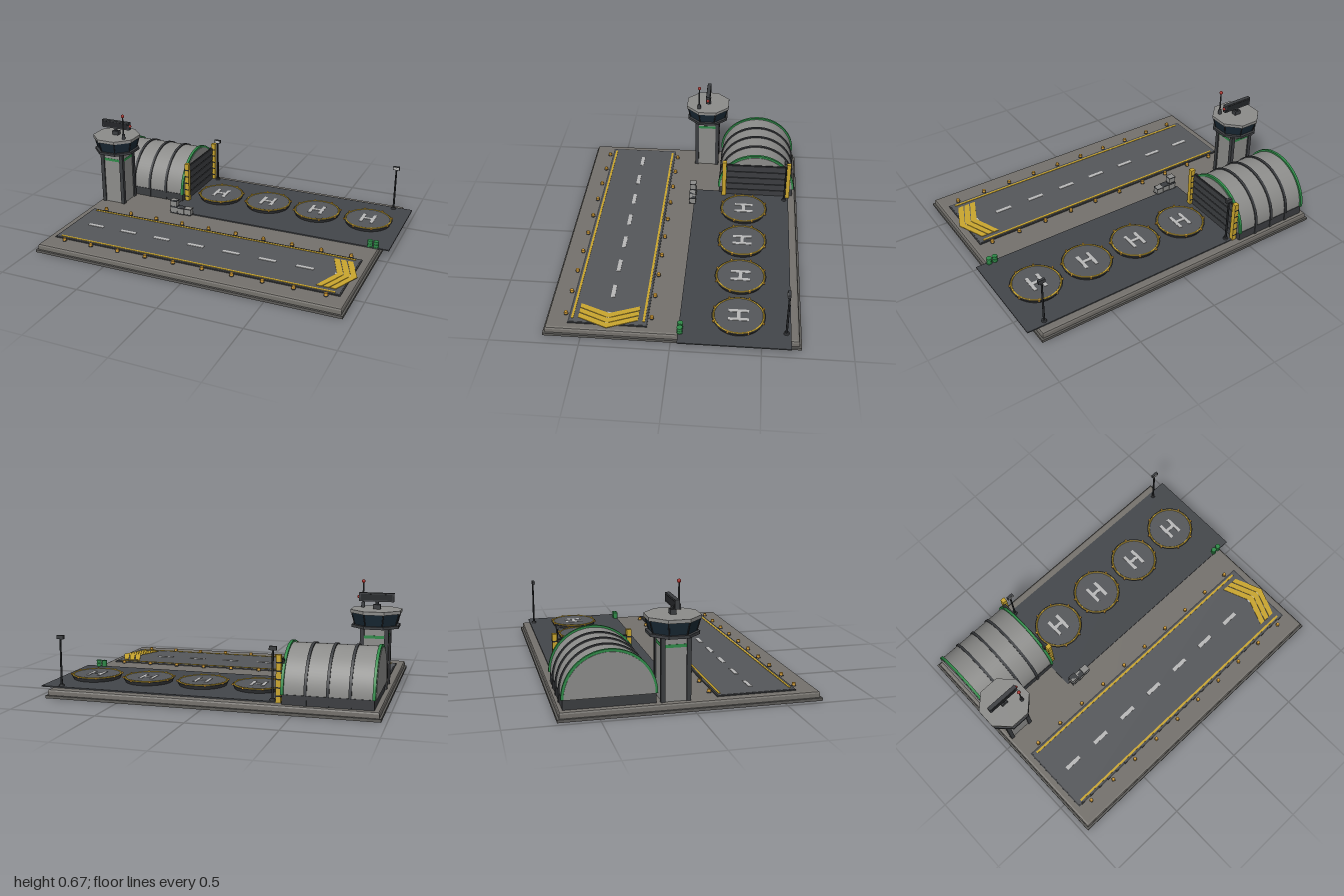
import * as THREE from 'three';

const COLORS = {
  concrete: 0x74716c, lip: 0x5c5b58, apron: 0x43464a, runway: 0x55575a, steel: 0x8c8c8a, dark: 0x3b3d40,
  black: 0x242629, glass: 0x1a2a36, yellow: 0xc9a52e, amber: 0xd09a35, green: 0x2f8a48, paint: 0xb8b8b8, red: 0xa02822,
};
const materials = {};
const mat = (key, flat = false) => materials[key + flat] ??= new THREE.MeshStandardMaterial({ color: COLORS[key], flatShading: flat });

export function createModel() {
  const root = new THREE.Group();
  root.name = 'airfield';
  const group = (name, x = 0, y = 0, z = 0) => {
    const g = new THREE.Group();
    g.name = name;
    g.position.set(x, y, z);
    root.add(g);
    return g;
  };
  const add = (parent, name, geometry, key, x = 0, y = 0, z = 0, flat = false) => {
    const m = new THREE.Mesh(geometry, mat(key, flat));
    m.name = name;
    m.position.set(x, y, z);
    parent.add(m);
    return m;
  };
  // y is the underside of the box or cylinder
  const box = (p, name, key, w, h, d, x, y, z) => add(p, name, new THREE.BoxGeometry(w, h, d), key, x, y + h / 2, z);
  const cyl = (p, name, key, rTop, rBottom, h, x, y, z, sides = 20) =>
    add(p, name, new THREE.CylinderGeometry(rTop, rBottom, h, sides), key, x, y + h / 2, z);

  // Base slab with a lower lip and bevelled upper edge
  const base = group('base', -0.015, 0, -0.003);
  box(base, 'baseLip', 'lip', 1.91, 0.016, 1.432, 0, 0, 0);
  const W = 0.93, D = 0.69;
  const outline = new THREE.Shape([[-W, -D], [W, -D], [W, D], [-W, D]].map(p => new THREE.Vector2(...p)));
  const slab = new THREE.ExtrudeGeometry(outline, { depth: 0.022, bevelThickness: 0.012, bevelSize: 0.014, bevelSegments: 2 });
  add(base, 'baseSlab', slab.rotateX(-Math.PI / 2), 'concrete', 0, 0.017, 0);

  // Apron plate, reaching past the slab's edge
  box(root, 'apron', 'apron', 1.445, 0.007, 0.62, 0.2725, 0.051, -0.35);

  // Runway with edge lines, dashes and chevrons
  const runway = group('runway');
  box(runway, 'runwayBorder', 'dark', 1.8, 0.005, 0.446, -0.016, 0.051, 0.357);
  box(runway, 'runwaySurface', 'runway', 1.785, 0.007, 0.43, -0.016, 0.051, 0.357);
  for (const z of [0.156, 0.558]) box(runway, 'edgeLine', 'yellow', 1.735, 0.003, 0.013, -0.017, 0.0575, z);
  for (let i = 0; i < 8; i++) box(runway, 'centreDash', 'paint', 0.105, 0.003, 0.023, -0.763 + i * 0.229, 0.0575, 0.357);
  const chevron = new THREE.Shape([[0, 0.168], [0.033, 0.168], [0.105, 0], [0.033, -0.168], [0, -0.168], [0.068, 0]]
    .map(p => new THREE.Vector2(...p)).reverse());
  const chevronGeometry = new THREE.ExtrudeGeometry(chevron, { depth: 0.004, bevelEnabled: false }).rotateX(-Math.PI / 2);
  for (let i = 0; i < 3; i++) add(runway, 'chevron', chevronGeometry, 'yellow', 0.73 + i * 0.04, 0.0575, 0.357);
  for (const z of [0.115, 0.6]) for (let i = 0; i < 10; i++) {
    const x = -0.836 + i * 0.183;
    cyl(runway, 'runwayLightBase', 'dark', 0.013, 0.013, 0.005, x, 0.05, z, 10);
    cyl(runway, 'runwayLight', 'amber', 0.01, 0.011, 0.015, x, 0.054, z, 10);
  }

  // Four landing pads
  for (let i = 0; i < 4; i++) {
    const pad = group('landingPad', -0.231 + i * 0.3365, 0.056, -0.368);
    cyl(pad, 'padBody', 'dark', 0.152, 0.138, 0.024, 0, 0, 0, 40);
    cyl(pad, 'padTop', 'runway', 0.136, 0.136, 0.004, 0, 0.023, 0, 40);
    add(pad, 'padRing', new THREE.TorusGeometry(0.141, 0.005, 6, 40).rotateX(Math.PI / 2), 'yellow', 0, 0.026, 0);
    for (const s of [-1, 1]) box(pad, 'padMarkBar', 'paint', 0.02, 0.003, 0.115, s * 0.034, 0.0265, 0);
    box(pad, 'padMarkCross', 'paint', 0.05, 0.003, 0.02, 0, 0.0265, 0);
    for (let k = 0; k < 8; k++) {
      const a = (k + 0.5) * Math.PI / 4;
      cyl(pad, 'padLight', 'amber', 0.006, 0.007, 0.01, 0.15 * Math.cos(a), 0.022, 0.15 * Math.sin(a), 8);
    }
  }

  // Hangar: half-round roof on low walls
  const hangar = group('hangar', 0, 0, -0.442);
  const arch = (name, key, r, w, x) => add(hangar, name,
    new THREE.CylinderGeometry(r, r, w, 40, 1, false, 0, Math.PI).rotateZ(Math.PI / 2), key, x, 0.105, 0);
  box(hangar, 'lowerWalls', 'dark', 0.492, 0.056, 0.488, -0.684, 0.05, 0);
  arch('roof', 'steel', 0.241, 0.485, -0.684);
  for (const x of [-0.803, -0.685, -0.565]) {
    arch('roofRib', 'dark', 0.248, 0.016, x);
    for (const s of [-1, 1]) box(hangar, 'wallPost', 'dark', 0.016, 0.056, 0.012, x, 0.05, s * 0.243);
  }
  for (const x of [-0.928, -0.44]) arch('endTrim', 'green', 0.252, 0.016, x);
  for (const x of [-0.93, -0.438]) arch('endWall', x < -0.5 ? 'steel' : 'steel', 0.238, 0.018, x);
  // Slatted door between striped posts
  box(hangar, 'door', 'black', 0.014, 0.232, 0.39, -0.432, 0.055, 0);
  for (let i = 0; i < 5; i++) box(hangar, 'doorSlat', 'dark', 0.022, 0.04, 0.39, -0.43, 0.057 + i * 0.0465, 0);
  for (const s of [-1, 1]) {
    box(hangar, 'doorPost', 'yellow', 0.028, 0.262, 0.027, -0.415, 0.053, s * 0.21);
    for (let i = 0; i < 5; i++) box(hangar, 'postStripe', 'black', 0.0285, 0.008, 0.0275, -0.4155, 0.085 + i * 0.046, s * 0.21);
  }

  // Control tower shaft with corner pillars and a painted band
  const tower = group('controlTower', -0.857, 0, -0.095);
  box(tower, 'towerShaft', 'steel', 0.145, 0.352, 0.145, 0, 0.05, 0);
  box(tower, 'towerBand', 'green', 0.149, 0.017, 0.149, 0, 0.34, 0);
  for (const sx of [-1, 1]) for (const sz of [-1, 1])
    box(tower, 'cornerPillar', 'dark', 0.024, 0.352, 0.024, sx * 0.069, 0.05, sz * 0.069);
  // Eight-sided cab, sized by the distance to its flats
  const octagon = (name, key, top, bottom, h, y) => {
    const k = 1 / Math.cos(Math.PI / 8);
    const g = new THREE.CylinderGeometry(top * k, bottom * k, h, 8).rotateY(Math.PI / 8);
    add(tower, name, g, key, 0, y + h / 2, 0, true);
  };
  octagon('cabFloor', 'dark', 0.133, 0.133, 0.016, 0.4);
  octagon('cabWindows', 'glass', 0.134, 0.116, 0.068, 0.415);
  octagon('cabRoof', 'steel', 0.141, 0.141, 0.019, 0.483);
  const k8 = 1 / Math.cos(Math.PI / 8);
  for (let i = 0; i < 8; i++) {
    const a = (i + 0.5) * Math.PI / 4;
    const at = (r, y) => new THREE.Vector3(r * k8 * Math.cos(a), y, r * k8 * Math.sin(a));
    const path = new THREE.LineCurve3(at(0.116, 0.415), at(0.134, 0.484));
    add(tower, 'windowMullion', new THREE.TubeGeometry(path, 1, 0.004, 6), 'black');
  }
  // Radar bar on its mount
  const radar = group('radar', -0.86, 0, -0.097);
  box(radar, 'radarMount', 'dark', 0.042, 0.026, 0.032, 0, 0.502, 0);
  cyl(radar, 'radarAxle', 'black', 0.01, 0.01, 0.025, 0, 0.525, 0, 12);
  box(radar, 'radarBar', 'dark', 0.2, 0.05, 0.024, 0.003, 0.545, 0);
  box(radar, 'radarFace', 'black', 0.18, 0.034, 0.028, 0.003, 0.553, 0);
  add(radar, 'radarLamp', new THREE.SphereGeometry(0.01, 12, 8), 'red', 0.104, 0.57, 0);
  // Mast with warning lamp
  const mast = group('antenna', -0.772, 0, -0.038);
  cyl(mast, 'antennaFoot', 'dark', 0.01, 0.012, 0.03, 0, 0.502, 0, 10);
  cyl(mast, 'antennaRod', 'dark', 0.004, 0.005, 0.125, 0, 0.525, 0, 8);
  add(mast, 'antennaLamp', new THREE.SphereGeometry(0.011, 12, 8), 'red', 0, 0.654, 0);

  // Floodlights
  for (const x of [-0.376, 0.878]) {
    const light = group('floodlight', x, 0, -0.633);
    cyl(light, 'lightFoot', 'dark', 0.014, 0.016, 0.012, 0, 0.056, 0, 10);
    cyl(light, 'lightPole', 'black', 0.0055, 0.0065, 0.28, 0, 0.056, 0, 8);
    box(light, 'lightHead', 'dark', 0.042, 0.022, 0.016, 0, 0.332, 0.003);
    box(light, 'lightLens', 'paint', 0.034, 0.015, 0.003, 0, 0.3355, 0.012);
  }

  // Crates and drums
  const cargo = group('cargo');
  for (const [x, y, z, s] of [[-0.408, 0.055, -0.03, 0.045], [-0.408, 0.1, -0.026, 0.043], [-0.36, 0.055, -0.027, 0.044], [-0.312, 0.055, -0.03, 0.044]]) {
    box(cargo, 'crate', 'steel', s, s, s * 0.9, x, y, z);
    for (const dy of [0, s - 0.006]) box(cargo, 'crateEdge', 'dark', s + 0.003, 0.006, s * 0.9 + 0.003, x, y + dy, z);
  }
  for (const x of [0.877, 0.914]) {
    cyl(cargo, 'drum', 'green', 0.015, 0.015, 0.042, x, 0.055, -0.05, 16);
    for (const y of [0.057, 0.074, 0.092]) cyl(cargo, 'drumHoop', 'green', 0.0168, 0.0168, 0.004, x, y, -0.05, 16);
  }
  return root;
}
